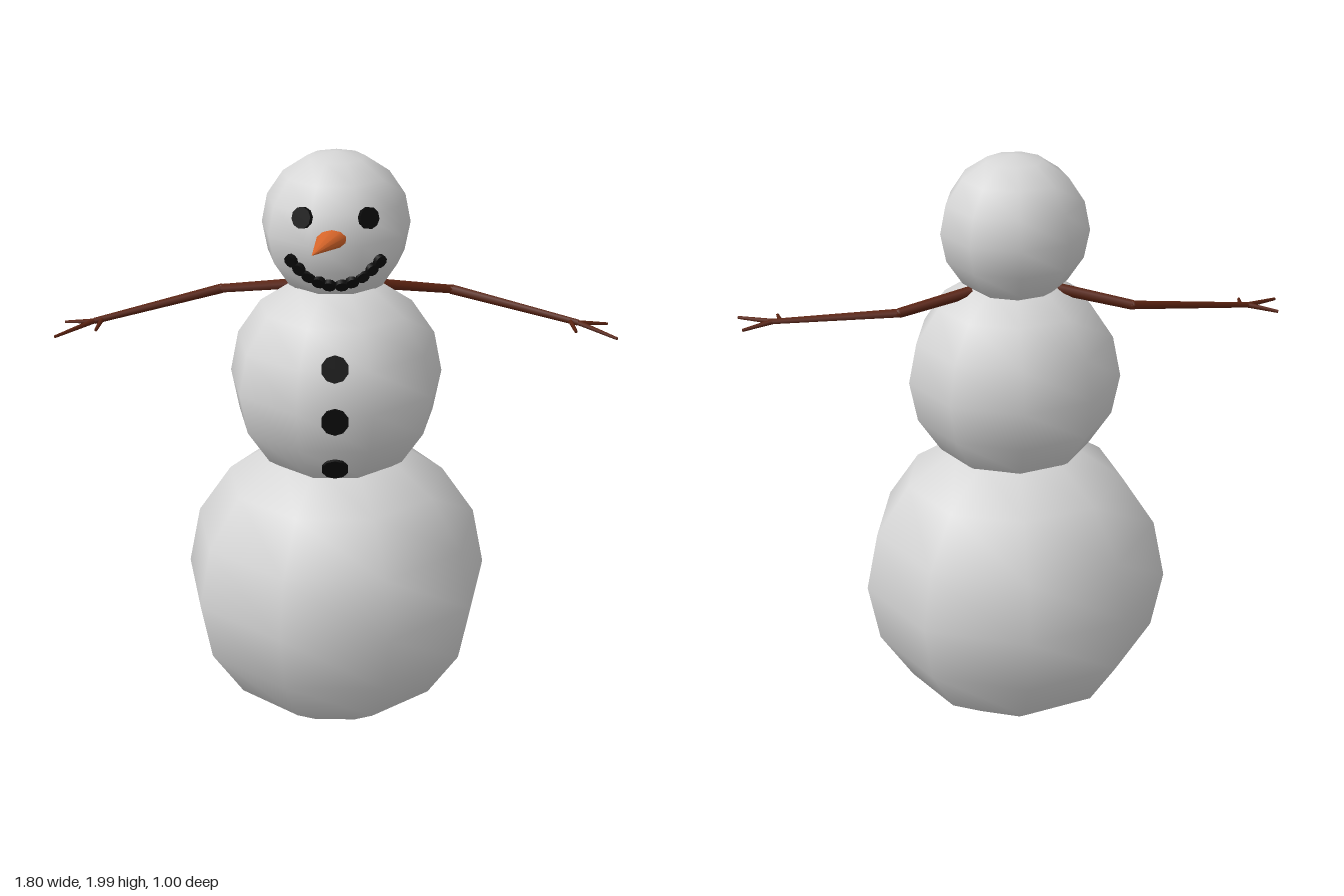
import * as THREE from 'three';

const V = (x, y, z) => new THREE.Vector3(x, y, z);
const UP = V(0, 1, 0);

function material(name, color) {
  const m = new THREE.MeshStandardMaterial({ color });
  m.name = name;
  return m;
}

export function createModel() {
  const snow = material('snow', 0xd6d6d6);
  const coal = material('coal', 0x0b0b0b);
  const carrot = material('carrot', 0xd8662a);
  const bark = material('bark', 0x5a2210);

  const model = new THREE.Group();
  model.name = 'snowman';

  const add = (parent, name, geometry, mat) => {
    const mesh = new THREE.Mesh(geometry, mat);
    mesh.name = name;
    parent.add(mesh);
    return mesh;
  };

  // Nine-sided snowballs with a corner at the back and a flat side in front
  const ball = (name, r, y, z) =>
    add(model, name, new THREE.SphereGeometry(r, 9, 8, -Math.PI / 2), snow).position.set(0, y, z);
  ball('lowerBody', 0.515, 0.522, 0.015);
  ball('upperBody', 0.353, 1.25, 0.033);
  ball('head', 0.242, 1.758, 0.008);

  // Thin coal disc facing along a normal
  const disc = (name, r, thickness, position, normal) => {
    const mesh = add(model, name, new THREE.CylinderGeometry(r, r, thickness, 10), coal);
    mesh.position.copy(position);
    mesh.quaternion.setFromUnitVectors(UP, normal.normalize());
  };

  // Buttons
  disc('topButton', 0.044, 0.009, V(0, 1.4, 0.355), V(0, 0.36, 0.93));
  disc('middleButton', 0.044, 0.009, V(0, 1.23, 0.372), V(0, 0, 1));
  disc('bottomButton', 0.044, 0.009, V(0, 1.05, 0.327), V(0, -0.46, 0.89));

  // Eyes
  for (const s of [1, -1]) {
    disc(s > 0 ? 'leftEye' : 'rightEye', 0.034, 0.016, V(s * 0.102, 1.843, 0.211), V(s * 0.5, 0.25, 0.83));
  }

  // Smile: mirrored row of stones
  const smile = [[0.02, 1.621, 0.2], [0.052, 1.634, 0.206], [0.084, 1.652, 0.205],
    [0.113, 1.674, 0.2], [0.138, 1.699, 0.193]];
  for (const s of [1, -1]) {
    for (const [x, y, z] of smile) {
      disc('mouthStone', 0.021, 0.016, V(s * x, y, z), V(s * x, y - 1.758, z));
    }
  }

  // Carrot nose: a flattened cone sheared towards its tip
  const nose = new THREE.ConeGeometry(1, 1, 10, 1);
  nose.translate(0, 0.5, 0);
  const base = V(-0.004, 1.776, 0.2), tip = V(-0.068, 1.796, 0.443);
  const p = nose.attributes.position;
  for (let i = 0; i < p.count; i++) {
    const t = p.getY(i);
    p.setXYZ(i,
      base.x + (tip.x - base.x) * t + p.getX(i) * 0.054,
      base.y + (tip.y - base.y) * t - p.getZ(i) * 0.034,
      base.z + (tip.z - base.z) * t);
  }
  nose.computeVertexNormals();
  add(model, 'nose', nose, carrot);

  // Arms: tapered twigs between points
  const twig = (parent, name, a, b, ra, rb) => {
    const d = b.clone().sub(a);
    const mesh = add(parent, name, new THREE.CylinderGeometry(rb, ra, d.length(), 6), bark);
    mesh.position.copy(a).add(b).multiplyScalar(0.5);
    mesh.quaternion.setFromUnitVectors(UP, d.normalize());
  };
  for (const s of [1, -1]) {
    const arm = new THREE.Group();
    arm.name = s > 0 ? 'leftArm' : 'rightArm';
    const shoulder = V(s * 0.14, 1.555, -0.012);
    const elbow = V(s * 0.375, 1.515, -0.078);
    const wrist = V(s * 0.78, 1.449, 0.058);
    const thumbRoot = V(s * 0.755, 1.453, 0.05);
    twig(arm, 'upperArm', shoulder, elbow, 0.019, 0.016);
    twig(arm, 'forearm', elbow, wrist, 0.016, 0.01);
    add(arm, 'elbow', new THREE.SphereGeometry(0.016, 6, 4), bark).position.copy(elbow);
    twig(arm, 'frontFinger', wrist, V(s * 0.895, 1.43, 0.155), 0.009, 0.005);
    twig(arm, 'backFinger', wrist, V(s * 0.878, 1.434, 0.026), 0.009, 0.005);
    twig(arm, 'thumb', thumbRoot, V(s * 0.766, 1.444, 0.13), 0.008, 0.005);
    model.add(arm);
  }

  return model;
}
